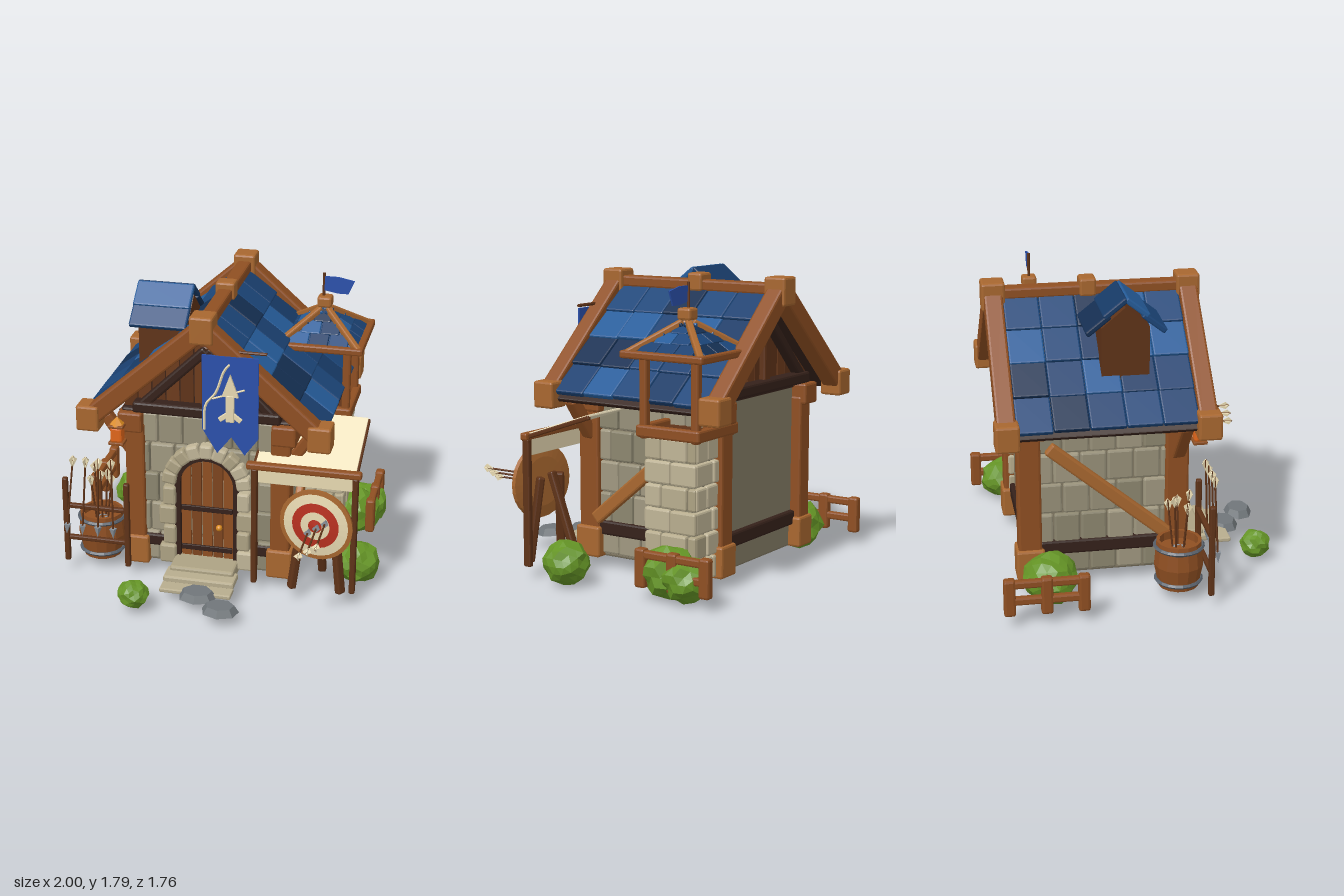
import * as THREE from 'three';
import { RoundedBoxGeometry } from 'three/addons/geometries/RoundedBoxGeometry.js';

const WOOD = 0x8f4f22, LIGHT = 0xa8672f, BROWN = 0x5f3318, DARK = 0x35211a, IRON = 0x59616b, STEEL = 0x8a929a;
const CREAM = 0xe8dab2, RED = 0xb8301f, FLAG = 0x2b50ab, BLUES = [0x1c4679, 0x173a66, 0x255c99, 0x1a4070, 0x152f52];
const STONES = [0x979079, 0x8c866f, 0xa09880], PALE = [0xb8ad8e, 0xada283, 0xc0b597];
const CX = -0.04, CZ = -0.195, SLOPE = 0.705; // house centre and roof pitch
const V = (x, y, z) => new THREE.Vector3(x, y, z), UP = V(0, 1, 0);

let seed = 7;
const rnd = () => (seed = (seed * 16807) % 2147483647) / 2147483647;
const pick = list => list[Math.floor(rnd() * list.length)];
const mats = {};
const mat = color => mats[color] ??= new THREE.MeshStandardMaterial({ color, flatShading: true, side: THREE.DoubleSide });

export function createModel() {
  const root = new THREE.Group();
  const part = (name, parent = root) => { const g = new THREE.Group(); g.name = name; parent.add(g); return g; };
  const add = (p, geo, color, x = 0, y = 0, z = 0) => {
    const m = new THREE.Mesh(geo, mat(color));
    m.name = p.name + 'Piece'; m.position.set(x, y, z); p.add(m); return m;
  };
  const box = (p, [w, h, d], [x, y, z], color) =>
    add(p, new RoundedBoxGeometry(w, h, d, 1, Math.min(0.014, w / 4, h / 4, d / 4)), color, x, y, z);
  // square beam from a to b
  const beam = (p, a, b, w, h, color) => {
    const m = box(p, [w, h, a.distanceTo(b)], a.clone().add(b).multiplyScalar(0.5).toArray(), color);
    m.lookAt(b); return m;
  };
  const rod = (p, a, b, r, color) => {
    const m = add(p, new THREE.CylinderGeometry(r, r, a.distanceTo(b), 8), color);
    m.position.copy(a).lerp(b, 0.5);
    m.quaternion.setFromUnitVectors(UP, b.clone().sub(a).normalize()); return m;
  };
  const slab = (p, pts, depth, color, x = 0, y = 0, z = 0) =>
    add(p, new THREE.ExtrudeGeometry(new THREE.Shape(pts.map(q => new THREE.Vector2(...q))), { depth, bevelEnabled: false }), color, x, y, z);
  const arrow = (p, tip, tail) => {
    const g = part('arrow', p), L = tip.distanceTo(tail);
    g.position.copy(tail);
    g.quaternion.setFromUnitVectors(UP, tip.clone().sub(tail).normalize());
    rod(g, V(0, 0, 0), V(0, L - 0.04, 0), 0.006, BROWN);
    add(g, new THREE.ConeGeometry(0.024, 0.07, 4), STEEL, 0, L - 0.035, 0);
    for (const a of [0, Math.PI / 2])
      slab(g, [[0, -0.005], [0.026, 0.02], [0, 0.08], [-0.026, 0.02]], 0.004, CREAM).rotation.y = a;
  };
  // courses of stones on the local xy plane, facing local z
  const stones = (p, x0, x1, y0, y1, rows, cols, colors) => {
    const h = (y1 - y0) / rows, w = (x1 - x0) / cols;
    for (let r = 0; r < rows; r++) for (let c = 0; c <= cols; c++) {
      const shift = r % 2 ? 0.35 : 0;
      const a = Math.max(x0, x0 + (c - shift) * w), b = Math.min(x1, x0 + (c + 1 - shift) * w);
      if (b - a > 0.02) box(p, [b - a - 0.007, h - 0.007, 0.05], [(a + b) / 2, y0 + (r + 0.5) * h, rnd() * 0.01], pick(colors));
    }
  };
  // vertical planks cut to a top line
  const planks = (p, x0, x1, n, y0, top, z, depth, colors) => {
    const w = (x1 - x0) / n;
    for (let i = 0; i < n; i++) {
      const a = x0 + i * w + 0.004, b = x0 + (i + 1) * w - 0.004, m = (a + b) / 2;
      slab(p, [[a, y0], [b, y0], [b, top(b)], [m, top(m)], [a, top(a)]], depth, colors[i % colors.length], 0, 0, z);
    }
  };

  // walls
  const walls = part('walls');
  box(walls, [0.92, 1.04, 0.9], [CX, 0.6, -0.19], 0x857c66);
  const front = part('frontStones', walls); front.position.z = 0.262;
  stones(front, -0.5, 0.42, 0.1, 1.1, 5, 6, STONES);
  for (const s of [-1, 1]) {
    const side = part('sideStones', walls);
    side.position.set(CX + s * 0.455, 0, CZ); side.rotation.y = s * Math.PI / 2;
    stones(side, -0.4, 0.4, 0.1, 1.06, 5, 5, STONES);
  }
  // timber frame
  const frame = part('timberFrame');
  for (const s of [-1, 1]) {
    const x = CX + s * 0.45;
    for (const z of [0.245, -0.635]) {
      box(frame, [0.12, 0.85, 0.14], [x, 0.6, z], WOOD);
      box(frame, [0.16, 0.19, 0.17], [x, 0.175, z], LIGHT);
      box(frame, [0.15, 0.13, 0.2], [x + s * 0.02, 1.04, z], WOOD);
    }
    box(frame, [0.09, 0.09, 0.76], [x, 0.265, CZ], DARK);
    box(frame, [0.1, 0.09, 1.0], [x + s * 0.03, 1.08, CZ], DARK);
    beam(frame, V(CX + s * 0.51, 0.32, 0.19), V(CX + s * 0.51, 0.92, -0.52), 0.05, 0.08, LIGHT);
    beam(frame, V(CX + s * 0.48, 0.82, 0.25), V(CX + s * 0.64, 1.06, 0.27), 0.08, 0.07, WOOD);
    box(frame, [0.15, 0.08, 0.06], [CX + s * 0.34, 0.24, 0.27], DARK);
  }
  box(frame, [0.8, 0.09, 0.06], [CX, 0.265, -0.64], DARK);

  // gables
  const roofLine = x => 1.62 - Math.abs(x - CX) * 0.87;
  const gables = part('gables');
  for (const [z, out] of [[0.25, 1], [-0.64, -1]]) {
    slab(gables, [[-0.56, 1.08], [0.56, 1.08], [0, 1.62]], 0.02, DARK, CX, 0, z - 0.01);
    planks(gables, CX - 0.52, CX + 0.52, 12, 1.1, roofLine, z - 0.02, 0.04, [BROWN, 0x6d3b1c]);
    box(gables, [0.9, 0.07, 0.09], [CX, 1.145, z + out * 0.05], DARK);
    box(gables, [0.07, 0.4, 0.05], [CX, 1.36, z + out * 0.035], BROWN);
    const zb = out > 0 ? 0.385 : -0.775;
    for (const s of [-1, 1]) {
      beam(gables, V(CX + s * 0.4, 1.15, z + out * 0.05), V(CX, 1.54, z + out * 0.05), 0.06, 0.06, DARK);
      beam(gables, V(CX, 1.705, zb), V(CX + s * 0.7, 1.085, zb), 0.11, 0.115, WOOD);
      box(gables, [0.14, 0.16, 0.14], [CX + s * 0.7, 1.09, zb], LIGHT);
    }
    box(gables, [0.14, 0.17, 0.14], [CX, 1.705, zb], LIGHT);
  }

  // main roof
  const roof = part('roof');
  box(roof, [0.09, 0.07, 1.2], [CX, 1.715, CZ], WOOD);
  box(roof, [0.12, 0.11, 0.1], [CX, 1.735, -0.215], LIGHT);
  const tile = (p, x, y, z, w, len, turn) => { box(p, [len, 0.035, w], [x, y, z], pick(BLUES)).rotation.z = turn; };
  for (const s of [-1, 1]) {
    const at = t => [CX + s * t * Math.cos(SLOPE), 1.705 - t * Math.sin(SLOPE)];
    const [dx, dy] = at(0.465);
    box(roof, [0.93, 0.03, 1.06], [dx, dy - 0.045, CZ], DARK).rotation.z = -s * SLOPE;
    for (let r = 0; r < 4; r++) for (let c = 0; c < 5; c++) {
      const [x, y] = at(0.135 + r * 0.226);
      tile(roof, x, y + rnd() * 0.01, 0.225 - c * 0.21, 0.207, 0.26, -s * (SLOPE - 0.07));
    }
  }

  // chimney with its own small roof
  const chimney = part('chimney');
  slab(chimney, [[-0.14, 1.2], [0.14, 1.2], [0.14, 1.62], [0, 1.74], [-0.14, 1.62]], 0.31, BROWN, -0.515, 0, -0.06).rotation.y = Math.PI / 2;
  const cover = part('chimneyRoof', chimney);
  cover.position.set(-0.375, 0, -0.06); cover.rotation.y = Math.PI / 2;
  for (const s of [-1, 1]) for (let r = 0; r < 2; r++)
    tile(cover, s * (0.063 + r * 0.1), 1.742 - r * 0.095, 0, 0.35, 0.17, -s * 0.67);

  // arched door
  const door = part('door'), DX = -0.04, DY = 0.66;
  const arch = r => x => DY + Math.sqrt(Math.max(0, r * r - (x - DX) ** 2));
  planks(door, DX - 0.165, DX + 0.165, 5, 0.16, arch(0.168), 0.28, 0.03, [WOOD, 0x7d441e]);
  const ring = new THREE.Shape().moveTo(-0.2, 0.14).lineTo(0.2, 0.14).lineTo(0.2, DY).absarc(0, DY, 0.2, 0, Math.PI);
  ring.holes.push(new THREE.Path().moveTo(-0.165, 0.17).lineTo(0.165, 0.17).lineTo(0.165, DY).absarc(0, DY, 0.165, 0, Math.PI));
  add(door, new THREE.ExtrudeGeometry(ring, { depth: 0.05, bevelEnabled: false }), DARK, DX, 0, 0.275);
  for (const y of [0.23, 0.5]) box(door, [0.32, 0.035, 0.015], [DX, y, 0.317], DARK);
  add(door, new THREE.SphereGeometry(0.02, 10, 8), 0xd98a1e, 0.04, 0.39, 0.335);
  const archStones = part('archStones', door);
  for (let i = 0; i < 9; i++) {
    const a = (i + 0.5) * Math.PI / 9;
    box(archStones, [0.09, 0.08, 0.09], [DX + Math.cos(a) * 0.232, DY + Math.sin(a) * 0.232, 0.305], pick(PALE)).rotation.z = a;
  }
  for (const s of [-1, 1]) for (let i = 0; i < 4; i++) {
    const w = i % 2 ? 0.08 : 0.105;
    box(archStones, [w, 0.125, 0.09], [DX + s * (0.19 + w / 2), 0.18 + i * 0.133, 0.305], pick(PALE));
  }
  const steps = part('steps');
  box(steps, [0.4, 0.08, 0.2], [DX, 0.13, 0.38], PALE[1]);
  box(steps, [0.44, 0.045, 0.14], [DX, 0.12, 0.49], PALE[0]);
  box(steps, [0.44, 0.028, 0.1], [DX, 0.094, 0.6], PALE[0]);
  for (const [x, z, r] of [[-0.02, 0.655, 0.12], [0.15, 0.79, 0.115]])
    add(part('pathStone'), new THREE.CylinderGeometry(r * 0.75, r, 0.045, 7), 0x70767a, x, 0.104, z).scale.z = 0.78;

  // banner with a bow and arrow
  const banner = part('banner');
  slab(banner, [[-0.035, 1.565], [0.3, 1.565], [0.3, 1.06], [0.22, 0.95], [0.14, 1.06], [0.055, 0.95], [-0.035, 1.1]], 0.012, FLAG, 0, 0, 0.434);
  rod(banner, V(0.04, 1.585, 0.41), V(0.34, 1.585, 0.41), 0.01, BROWN);
  slab(banner, [[0.085, 1.32], [0.185, 1.32], [0.135, 1.46]], 0.018, CREAM, 0, 0, 0.445);
  box(banner, [0.05, 0.17, 0.02], [0.135, 1.245, 0.455], CREAM);
  for (const s of [-1, 1]) beam(banner, V(0.135, 1.22, 0.455), V(0.135 + s * 0.065, 1.17, 0.455), 0.015, 0.03, CREAM);
  const bow = [[-0.02, 1.1], [-0.01, 1.26], [0.05, 1.34], [0.1, 1.48], [0.13, 1.52]].map(q => V(...q, 0.455));
  add(banner, new THREE.TubeGeometry(new THREE.CatmullRomCurve3(bow), 16, 0.008, 5), CREAM);
  rod(banner, V(0.03, 1.3, 0.455), V(0.22, 1.37, 0.455), 0.006, CREAM);

  // lantern
  const lantern = part('lantern');
  box(lantern, [0.075, 0.1, 0.07], [-0.58, 0.975, 0.365], 0xe0661a);
  for (const y of [0.92, 1.03]) box(lantern, [0.095, 0.02, 0.085], [-0.58, y, 0.365], WOOD);
  add(lantern, new THREE.ConeGeometry(0.05, 0.05, 6), 0xd98a1e, -0.58, 1.06, 0.365);

  // corner tower
  const tower = part('tower'), TX = 0.52, TZ = -0.5;
  box(tower, [0.31, 0.83, 0.3], [TX, 0.51, TZ], STONES[1]);
  for (let i = 0; i < 4; i++) {
    const a = i * Math.PI / 2, face = part('towerStones', tower);
    face.position.set(TX + Math.sin(a) * 0.155, 0, TZ + Math.cos(a) * 0.15); face.rotation.y = a;
    stones(face, -0.178, 0.178, 0.09, 0.92, 6, 2, PALE);
    const c = Math.cos(a + Math.PI / 4) * 1.4142, s = Math.sin(a + Math.PI / 4) * 1.4142;
    const corner = (r, y, cc = c, ss = s) => V(TX + cc * r, y, TZ + ss * r);
    const rail = (r, y, w, h) => beam(tower, corner(r, y), corner(r, y, -s, c), w, h, WOOD);
    rail(0.19, 0.945, 0.05, 0.07).scale.z = 1.12;
    rail(0.258, 1.385, 0.045, 0.045).scale.z = 1.08;
    box(tower, [0.05, 0.5, 0.05], corner(0.175, 1.15).toArray(), WOOD);
    beam(tower, corner(0.255, 1.385), corner(0.02, 1.56), 0.04, 0.04, LIGHT);
    // shingles on one face of the small roof
    for (let r = 0; r < 3; r++) {
      const n = 3 - r, w = 0.37 - r * 0.13, dist = 0.2 - r * 0.075;
      for (let k = 0; k < n; k++) {
        const g = part('towerShingle', tower); g.position.set(TX, 0, TZ); g.rotation.y = a;
        box(g, [w / n - 0.005, 0.02, 0.1], [((k + 0.5) / n - 0.5) * w, 1.418 + r * 0.052, dist], pick(BLUES)).rotation.x = 0.56;
      }
    }
  }
  box(tower, [0.38, 0.03, 0.38], [TX, 0.93, TZ], BROWN);
  add(tower, new THREE.ConeGeometry(0.345, 0.175, 4), BLUES[0], TX, 1.465, TZ).rotation.y = Math.PI / 4;
  box(tower, [0.09, 0.07, 0.09], [TX, 1.605, TZ], LIGHT);
  rod(tower, V(0.51, 1.6, TZ), V(0.51, 1.785, TZ), 0.009, BROWN);
  slab(part('flag', tower), [[0.515, 1.765], [0.6, 1.765], [0.7, 1.745], [0.665, 1.66], [0.6, 1.66], [0.515, 1.675]], 0.01, FLAG, 0, 0, TZ);

  // awning
  const awning = part('awning');
  beam(awning, V(0.575, 0.87, 0.4), V(0.575, 1.03, -0.07), 0.6, 0.015, 0xf2e6c2);
  box(awning, [0.6, 0.1, 0.012], [0.575, 0.8, 0.375], CREAM);
  box(awning, [0.69, 0.045, 0.05], [0.565, 0.865, 0.39], WOOD);
  for (const x of [0.27, 0.875]) {
    box(awning, [0.035, 0.77, 0.05], [x, 0.465, 0.39], BROWN);
    beam(awning, V(x, 0.86, 0.39), V(x, 1.02, -0.07), 0.025, 0.025, BROWN);
  }

  // archery target, turned slightly towards the door
  const target = part('target'), face = part('targetFace', target);
  face.position.set(0.66, 0.555, 0.455); face.rotation.set(Math.PI / 2, 0, 0.15);
  const lathe = (pts, color) => add(face, new THREE.LatheGeometry(pts.map(q => new THREE.Vector2(...q)), 28), color);
  lathe([[0, -0.022], [0.15, -0.02], [0.222, -0.008], [0.226, 0.015], [0.195, 0.018]], LIGHT);
  const rings = [0.2, 0.145, 0.09, 0.04, 0], cap = r => 0.034 - r * r * 0.4;
  for (let i = 0; i < 4; i++) lathe([[rings[i], cap(rings[i])], [rings[i + 1], cap(rings[i + 1])]], i % 2 ? RED : CREAM);
  lathe([[0.042, 0.034], [0, 0.04]], RED);
  for (const s of [-1, 1]) beam(target, V(0.66 + s * 0.15, 0.09, 0.43), V(0.66 + s * 0.09, 0.6, 0.39), 0.055, 0.045, BROWN);
  beam(target, V(0.66, 0.1, 0.19), V(0.66, 0.62, 0.38), 0.05, 0.045, BROWN);
  [[0.62, 0.53], [0.67, 0.565], [0.72, 0.6]].forEach(([x, y]) => arrow(target, V(x, y, 0.47), V(x, y, 0.85)));

  // arrow rack
  const rack = part('arrowRack');
  for (const x of [-0.92, -0.53]) box(rack, [0.035, 0.57, 0.035], [x, 0.365, 0.38], BROWN);
  for (const y of [0.24, 0.46]) box(rack, [0.42, 0.03, 0.03], [-0.725, y, 0.375], BROWN);
  for (let i = 0; i < 4; i++) arrow(rack, V(-0.91 + i * 0.1, 0.28, 0.42), V(-0.855 + i * 0.08, 0.81, 0.4));

  // barrel of arrows
  const barrel = part('barrel'); barrel.position.set(-0.74, 0, 0.22);
  const stave = [[0, 0.08], [0.12, 0.08], [0.148, 0.22], [0.135, 0.37], [0.115, 0.37], [0.115, 0.32], [0, 0.32]];
  add(barrel, new THREE.LatheGeometry(stave.map(q => new THREE.Vector2(...q)), 14), WOOD);
  for (const [y, r] of [[0.12, 0.133], [0.335, 0.141]])
    add(barrel, new THREE.TorusGeometry(r, 0.013, 5, 20), IRON, 0, y, 0).rotation.x = Math.PI / 2;
  for (let i = 0; i < 5; i++) {
    const a = i * 1.257, c = Math.cos(a), s = Math.sin(a);
    arrow(barrel, V(c * 0.03, 0.25, s * 0.03), V(c * 0.07, 0.62 + (i % 2) * 0.05, s * 0.07));
  }

  // fences
  for (const [x, z] of [[-0.97, -0.59], [0.865, -0.635]]) {
    const fence = part('fence');
    for (const d of [-1, 0, 1]) box(fence, [0.058, 0.23, 0.068], [x, 0.195, z + d * 0.215], WOOD);
    for (const y of [0.17, 0.275]) box(fence, [0.044, 0.048, 0.48], [x, y, z], WOOD);
  }

  // bushes: faceted balls with a bumpy rule
  for (const [x, y, z, r] of [[-0.7, 0.155, -0.54, 0.165], [0.75, 0.16, -0.54, 0.165], [0.8, 0.15, -0.68, 0.14],
    [0.865, 0.145, 0.115, 0.138], [-0.385, 0.125, 0.775, 0.092]]) {
    const geo = new THREE.IcosahedronGeometry(r, 2), pos = geo.attributes.position, v = V(0, 0, 0);
    for (let i = 0; i < pos.count; i++) {
      v.fromBufferAttribute(pos, i);
      v.multiplyScalar(0.98 + 0.11 * Math.sin(v.x / r * 5 + x * 9) * Math.cos(v.y / r * 6 + v.z / r * 4));
      pos.setXYZ(i, v.x, Math.max(v.y, -y) * 0.93, v.z);
    }
    add(part('bush'), geo, 0x659526, x, y, z);
  }
  return root;
}
